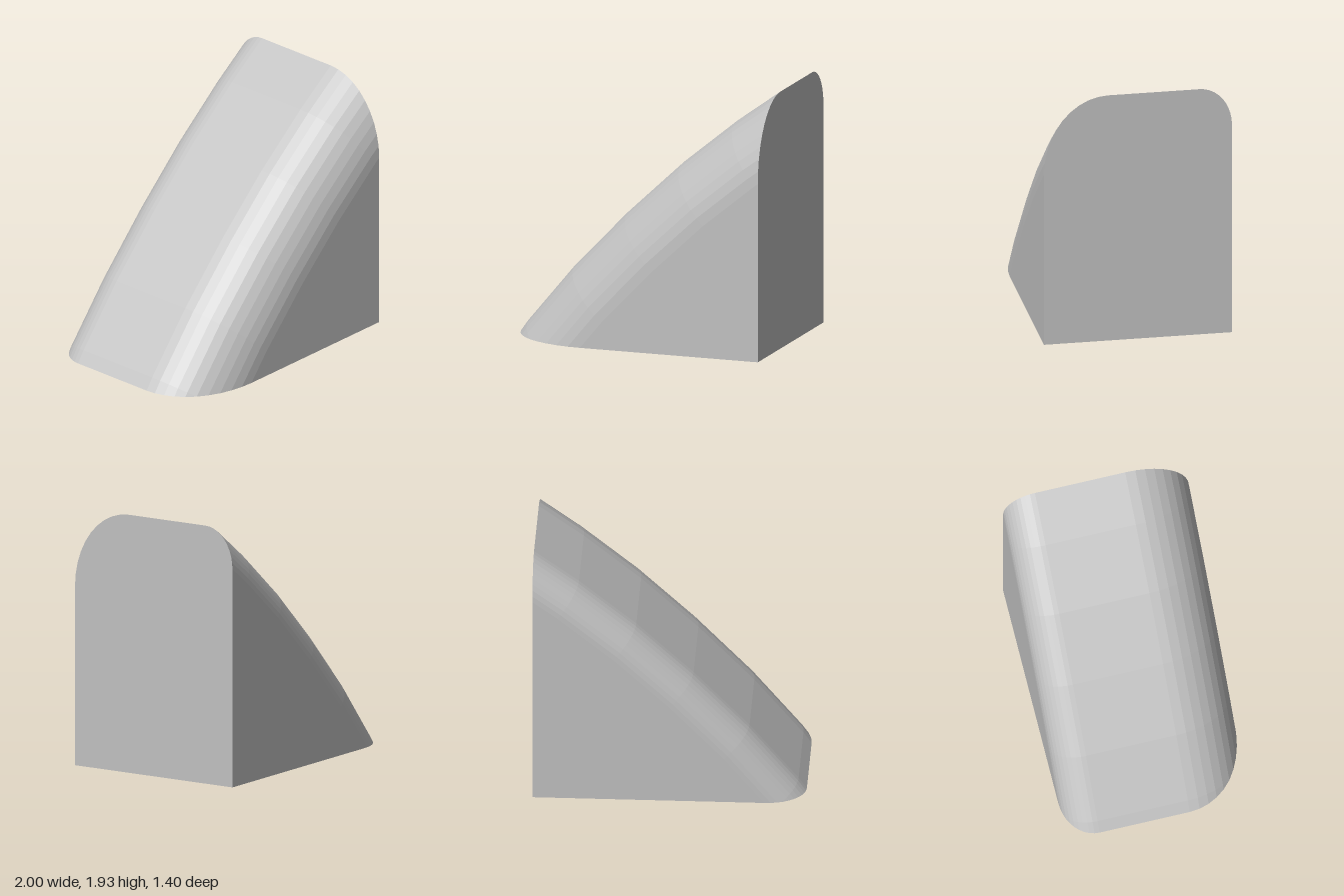
import * as THREE from 'three';
import { ConvexGeometry } from 'three/addons/geometries/ConvexGeometry.js';

// Faceted slope line in the x-y plane, from the toe to the top edge
const slope = [[-1, 0], [-0.94, 0.085], [-0.58, 0.52], [-0.17, 0.95], [0.25, 1.345], [0.67, 1.69], [1, 1.93]]
  .map(([x, y]) => new THREE.Vector2(x, y));

// Edges of the slope as lines: normal . p = c
const edges = slope.slice(1).map((b, i) => {
  const a = slope[i];
  const n = new THREE.Vector2(a.y - b.y, b.x - a.x).normalize();
  return { n, c: n.dot(a) };
});

// Slope line moved inward by d, trimmed at the floor (y = 0) and the wall (x = 1)
function insetSlope(d) {
  const lines = [{ n: new THREE.Vector2(0, 1), c: 0 },
    ...edges.map(({ n, c }) => ({ n, c: c - d })),
    { n: new THREE.Vector2(1, 0), c: 1 }];
  const points = [];
  for (let i = 0; i < lines.length; i++) {
    for (let j = i + 1; j < lines.length; j++) {
      const p = lines[i], q = lines[j];
      const det = p.n.x * q.n.y - p.n.y * q.n.x;
      const x = (p.c * q.n.y - q.c * p.n.y) / det;
      const y = (p.n.x * q.c - q.n.x * p.c) / det;
      const inside = lines.slice(1).every(({ n, c }) => n.x * x + n.y * y < c + 1e-6);
      if (inside && y > -1e-6) points.push([x, Math.max(0, y)]);
    }
  }
  return points;
}

export function createModel() {
  const group = new THREE.Group();
  group.name = 'wedge';
  const grey = new THREE.MeshStandardMaterial({ color: 0xc0c0c0 });
  grey.name = 'grey';

  // Square corners at the foot of the wall
  const points = [new THREE.Vector3(1, 0, 0.7), new THREE.Vector3(1, 0, -0.7)];

  // Rounded shoulders: wide on the front side, tight on the back
  const steps = 10;
  for (const [side, radius] of [[1, 0.48], [-1, 0.24]]) {
    for (let k = 0; k <= steps; k++) {
      const t = (k / steps) * Math.PI / 2;
      const z = side * (0.7 - radius + radius * Math.sin(t));
      for (const [x, y] of insetSlope(radius * (1 - Math.cos(t)))) points.push(new THREE.Vector3(x, y, z));
    }
  }

  const body = new THREE.Mesh(new ConvexGeometry(points), grey);
  body.name = 'wedgeBody';
  group.add(body);
  return group;
}
